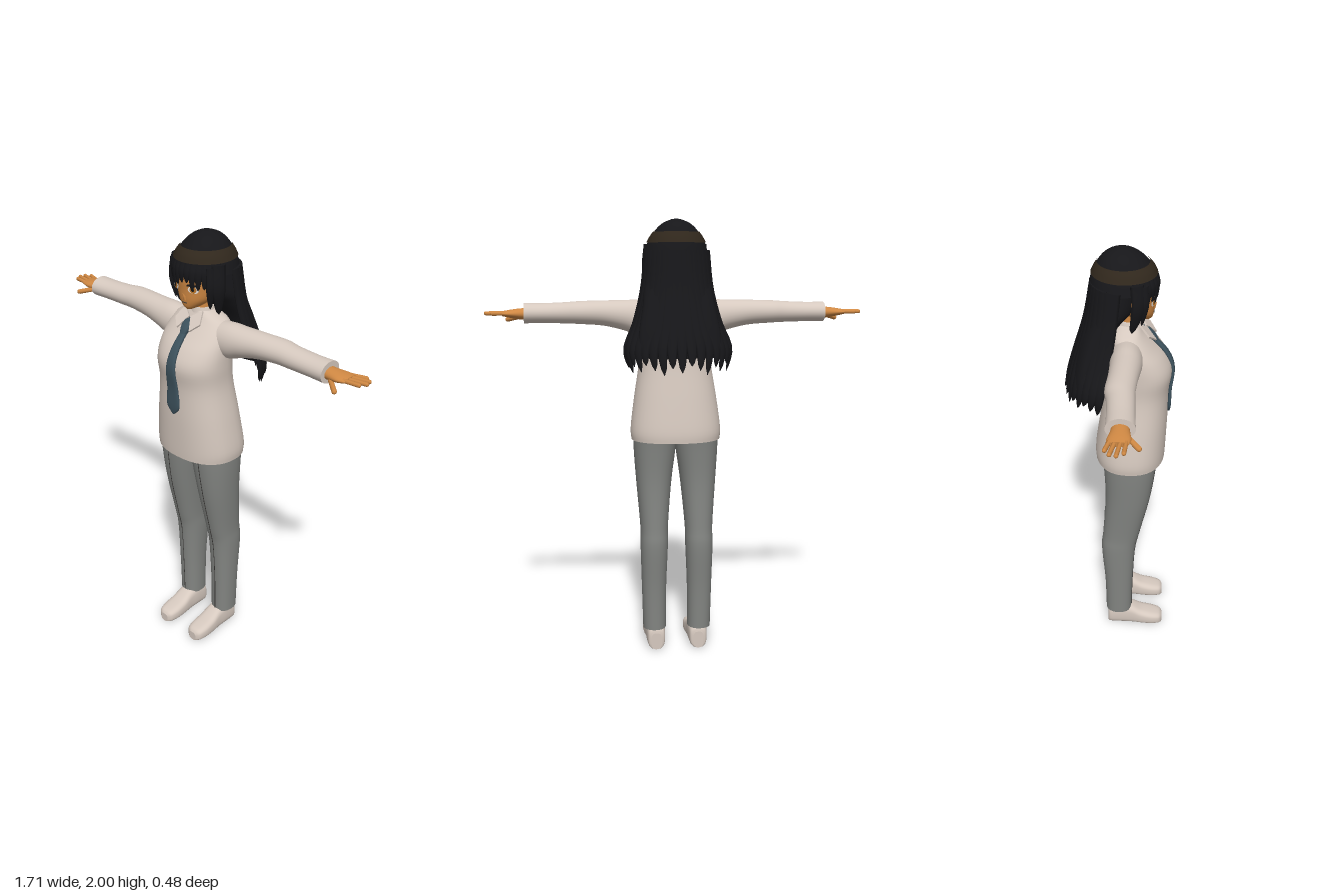
import * as THREE from 'three';

const mat = (name, color) => {
  const m = new THREE.MeshStandardMaterial({ color });
  m.name = name;
  return m;
};

// Skin a surface over closed rings that run counter-clockwise about the direction of travel
function skin(rings, caps = true) {
  const n = rings[0].length, pos = [], idx = [];
  const add = (p) => pos.push(p.x, p.y, p.z) / 3 - 1;
  rings.forEach((r) => r.forEach(add));
  for (let i = 0; i < rings.length - 1; i++)
    for (let j = 0; j < n; j++) {
      const a = i * n + j, b = i * n + (j + 1) % n;
      idx.push(a, b, a + n, b, b + n, a + n);
    }
  if (caps) [rings[0], rings[rings.length - 1]].forEach((r, end) => {
    const mid = new THREE.Vector3();
    r.forEach((p) => mid.addScaledVector(p, 1 / n));
    const c = add(mid), s = pos.length / 3;
    r.forEach(add);
    for (let j = 0; j < n; j++) {
      const a = s + j, b = s + (j + 1) % n;
      if (end) idx.push(c, a, b); else idx.push(c, b, a);
    }
  });
  const g = new THREE.BufferGeometry();
  g.setAttribute('position', new THREE.Float32BufferAttribute(pos, 3));
  g.setIndex(idx);
  g.computeVertexNormals();
  return g;
}

// Smooth loft along an axis; each section is [t, a0, a1, b0, b1], a and b being the other two axes
function loft(axis, secs, { e = 2, n = 28, sub = 5, caps = true } = {}) {
  const at = (i) => secs[Math.max(0, Math.min(secs.length - 1, i))];
  const rings = [], last = (secs.length - 1) * sub;
  const pw = (v) => Math.sign(v) * Math.abs(v) ** (2 / e);
  for (let k = 0; k <= last; k++) {
    const i = Math.min(Math.floor(k / sub), secs.length - 2), f = k / sub - i;
    const [t, a0, a1, b0, b1] = at(i).map((p1, c) => {
      const p0 = at(i - 1)[c], p2 = at(i + 1)[c], p3 = at(i + 2)[c];
      return p1 + 0.5 * f * (p2 - p0 + f * (2 * p0 - 5 * p1 + 4 * p2 - p3 + f * (3 * (p1 - p2) + p3 - p0)));
    });
    rings.push(Array.from({ length: n }, (_, j) => {
      const w = (axis === 'y' ? -1 : 1) * j / n * Math.PI * 2;
      const a = (a0 + a1) / 2 + (a1 - a0) / 2 * pw(Math.cos(w));
      const b = (b0 + b1) / 2 + (b1 - b0) / 2 * pw(Math.sin(w));
      return axis === 'x' ? new THREE.Vector3(t, a, b) : axis === 'y' ? new THREE.Vector3(a, t, b) : new THREE.Vector3(a, b, t);
    }));
  }
  return skin(rings, caps);
}

// Flat tapering strand along a path, its broad side facing away from the head's axis
function strand(points, width, thick, taperFrom = 0.55) {
  const curve = new THREE.CatmullRomCurve3(points.map((p) => new THREE.Vector3(...p)));
  const rings = [];
  for (let i = 0; i <= 14; i++) {
    const u = i / 14, p = curve.getPoint(u), t = curve.getTangent(u);
    const o = new THREE.Vector3(p.x, 0, p.z - 0.02);
    o.addScaledVector(t, -o.dot(t)).normalize();
    const s = o.clone().cross(t);
    const k = u < taperFrom ? 1 : 0.04 + 0.96 * Math.sqrt(Math.max(0, 1 - (u - taperFrom) / (1 - taperFrom)));
    rings.push(Array.from({ length: 8 }, (_, j) => {
      const w = j / 8 * Math.PI * 2;
      return p.clone().addScaledVector(s, Math.cos(w) * width * k).addScaledVector(o, Math.sin(w) * thick * k);
    }));
  }
  return skin(rings);
}

// Mirrored copy across x = 0
function mirrored(geo) {
  const g = geo.clone(), p = g.attributes.position;
  for (let i = 0; i < p.count; i++) p.setX(i, -p.getX(i));
  if (!g.index) g.setIndex(Array.from({ length: p.count }, (_, i) => i));
  const x = g.index;
  for (let i = 0; i < x.count; i += 3) {
    const b = x.getX(i + 1);
    x.setX(i + 1, x.getX(i + 2));
    x.setX(i + 2, b);
  }
  g.computeVertexNormals();
  return g;
}

export function createModel() {
  const root = new THREE.Group();
  const cloth = mat('creamCloth', 0xd6c9bf), grey = mat('trouserGrey', 0x838582), skinTone = mat('skin', 0xcf8843);
  const black = mat('hairBlack', 0x17171a), sheen = mat('hairSheen', 0x30271c), blue = mat('tieBlue', 0x3d525d);
  const white = mat('eyeWhite', 0xe6e0da), amber = mat('iris', 0xb8742a), line = mat('seamDark', 0x3c3a38);

  const add = (name, geo, m) => {
    const mesh = new THREE.Mesh(geo, m);
    mesh.name = name;
    root.add(mesh);
    return mesh;
  };
  const pair = (name, geo, m) => {
    add(name + 'Left', geo, m);
    add(name + 'Right', mirrored(geo), m);
  };

  // Jacket body
  add('jacket', loft('y', [[1.005, 0.205, -0.1, 0.212], [1.06, 0.208, -0.1, 0.215], [1.2, 0.19, -0.08, 0.22],
    [1.35, 0.167, -0.056, 0.222], [1.45, 0.168, -0.047, 0.233], [1.52, 0.168, -0.045, 0.205], [1.58, 0.162, -0.04, 0.155],
    [1.63, 0.135, -0.032, 0.112], [1.655, 0.09, -0.018, 0.097], [1.67, 0.055, 0, 0.09]]
    .map(([y, w, b, f]) => [y, -w, w, b, f]), { e: 2.3, n: 40 }), cloth);

  // Sleeves, from [x, y centre, z centre, y radius, z radius]
  const limb = (s) => s.map(([x, y, z, ry, rz]) => [x, y - ry, y + ry, z - rz, z + rz]);
  pair('sleeve', loft('x', limb([[0.09, 1.565, 0.04, 0.07, 0.065], [0.17, 1.565, 0.04, 0.079, 0.068],
    [0.24, 1.576, 0.038, 0.067, 0.065], [0.33, 1.586, 0.032, 0.056, 0.061], [0.43, 1.589, 0.025, 0.051, 0.061],
    [0.5, 1.588, 0.031, 0.047, 0.056], [0.6, 1.587, 0.035, 0.044, 0.055], [0.68, 1.587, 0.037, 0.045, 0.058]])), cloth);

  // Hands: palm, four fingers and a thumb
  pair('palm', loft('x', limb([[0.66, 1.585, 0.037, 0.026, 0.033], [0.7, 1.584, 0.037, 0.024, 0.038],
    [0.74, 1.585, 0.035, 0.018, 0.045], [0.775, 1.586, 0.03, 0.011, 0.042]])), skinTone);
  const digit = (a, b, r) => {
    const g = new THREE.CapsuleGeometry(r, new THREE.Vector3(...a).distanceTo(new THREE.Vector3(...b)), 4, 8);
    const dir = new THREE.Vector3(...b).sub(new THREE.Vector3(...a)).normalize();
    g.applyQuaternion(new THREE.Quaternion().setFromUnitVectors(new THREE.Vector3(0, 1, 0), dir));
    return g.translate((a[0] + b[0]) / 2, (a[1] + b[1]) / 2, (a[2] + b[2]) / 2);
  };
  [[0.815, -0.014], [0.84, 0.004], [0.846, 0.029], [0.83, 0.056]].forEach(([x, z], i) =>
    pair('finger' + (i + 1), digit([0.755, 1.587, 0.002 + i * 0.02], [x, 1.588, z], 0.009), skinTone));
  pair('thumb', digit([0.7, 1.572, 0.06], [0.757, 1.556, 0.108], 0.011), skinTone);

  // Trousers with a front crease
  const leg = [[0.1, 0.052, 0.16, -0.055, 0.07], [0.3, 0.05, 0.165, -0.06, 0.074], [0.5, 0.042, 0.17, -0.075, 0.085],
    [0.6, 0.04, 0.17, -0.067, 0.105], [0.8, 0.022, 0.185, -0.055, 0.148], [0.95, 0.002, 0.195, -0.06, 0.17],
    [1.06, -0.01, 0.198, -0.07, 0.18]];
  pair('trouserLeg', loft('y', leg, { e: 2.2 }), grey);
  const crease = new THREE.CatmullRomCurve3(leg.map(([y, a, b, , f]) => new THREE.Vector3((a + b) / 2, y, f)));
  pair('trouserCrease', new THREE.TubeGeometry(crease, 40, 0.002, 5), line);

  // Shoes
  pair('shoe', loft('z', [[-0.046, 0.025, 0.08], [-0.035, 0.04, 0.105], [0.02, 0.045, 0.125], [0.07, 0.045, 0.113],
    [0.12, 0.049, 0.086], [0.17, 0.05, 0.072], [0.21, 0.041, 0.06], [0.225, 0.022, 0.045]]
    .map(([z, w, h]) => [z, 0.1 - w, 0.1 + w, 0, h]), { e: 3 }), cloth);

  // Neck, collar and tie
  add('neck', new THREE.CylinderGeometry(0.038, 0.042, 0.14, 20).translate(0, 1.66, 0.045), skinTone);
  add('collarStand', loft('y', [[1.64, -0.062, 0.062, -0.015, 0.1], [1.682, -0.05, 0.05, -0.008, 0.09]]), cloth);
  const flap = new THREE.Shape([[0.004, 0.012], [0.05, 0.05], [0.072, -0.01], [0.036, -0.052]].map((p) => new THREE.Vector2(...p)));
  pair('collarFlap', new THREE.ExtrudeGeometry(flap, { depth: 0.008, bevelEnabled: false })
    .rotateX(-0.75).translate(0, 1.636, 0.123), cloth);
  add('tie', loft('y', [[1.225, 0.003, 0.218, 0.229], [1.265, 0.036, 0.218, 0.234], [1.35, 0.031, 0.22, 0.236],
    [1.45, 0.025, 0.23, 0.245], [1.53, 0.02, 0.195, 0.216], [1.61, 0.014, 0.12, 0.148]]
    .map(([y, w, b, f]) => [y, -w, w, b, f]), { e: 3 }), blue);
  add('tieKnot', loft('y', [[1.585, 0.017, 0.13, 0.172], [1.61, 0.024, 0.115, 0.158], [1.638, 0.026, 0.09, 0.132]]
    .map(([y, w, b, f]) => [y, -w, w, b, f]), { e: 3 }), blue);

  // Head
  add('head', loft('y', [[1.686, 0.014, 0.1, 0.135], [1.7, 0.04, 0.05, 0.145], [1.73, 0.075, 0, 0.15],
    [1.77, 0.098, -0.06, 0.151], [1.82, 0.108, -0.09, 0.152], [1.9, 0.095, -0.075, 0.14], [1.95, 0.05, -0.03, 0.08]]
    .map(([y, w, b, f]) => [y, -w, w, b, f]), { e: 2.1, n: 32 }), skinTone);
  add('nose', new THREE.ConeGeometry(0.01, 0.035, 8).rotateX(0.5).translate(0, 1.748, 0.153), skinTone);
  add('mouth', new THREE.BoxGeometry(0.026, 0.003, 0.004).translate(0, 1.718, 0.149), line);
  const eyePlate = (g, y, z) => g.rotateY(0.38).translate(0.05, y, z);
  pair('eyeWhite', eyePlate(new THREE.CircleGeometry(0.025, 20).scale(1, 0.65, 1), 1.784, 0.148), white);
  pair('iris', eyePlate(new THREE.CircleGeometry(0.015, 20), 1.784, 0.15), amber);
  pair('pupil', eyePlate(new THREE.CircleGeometry(0.007, 14), 1.784, 0.152), black);
  pair('eyelash', eyePlate(new THREE.BoxGeometry(0.054, 0.006, 0.006), 1.801, 0.149), black);

  // Hair: crown, sheen band and back mass
  const crown = [[1.845, 0.144, -0.12, 0.164], [1.9, 0.126, -0.106, 0.156], [1.95, 0.093, -0.077, 0.116],
    [1.98, 0.06, -0.045, 0.078], [1.998, 0.018, 0.0, 0.035]].map(([y, w, b, f]) => [y, -w, w, b, f]);
  add('hairCrown', loft('y', crown, { n: 40 }), black);
  add('hairSheenBand', loft('y', [[1.895, 0.133, -0.113, 0.163], [1.92, 0.12, -0.101, 0.15], [1.942, 0.104, -0.087, 0.13]]
    .map(([y, w, b, f]) => [y, -w, w, b, f]), { n: 40, caps: false }), sheen);
  add('hairBack', loft('y', [[1.4, 0.16, -0.2, -0.12], [1.44, 0.182, -0.2, -0.1], [1.52, 0.178, -0.186, -0.07],
    [1.62, 0.16, -0.16, -0.03], [1.7, 0.152, -0.135, 0.03], [1.76, 0.148, -0.125, 0.08], [1.86, 0.138, -0.116, 0.1]]
    .map(([y, w, b, f]) => [y, -w, w, b, f]), { n: 36 }), black);

  // Long strands fanning out behind
  for (let i = 0; i < 17; i++) {
    const a = (i / 8 - 1) * 1.45, s = Math.sin(a), c = Math.cos(a), j = (i * 7 % 5) / 5;
    add('backStrand', strand([[0.135 * s, 1.86, -0.105 * c], [0.15 * s, 1.7, -0.015 - 0.118 * c],
      [0.19 * s, 1.54, -0.035 - 0.145 * c], [0.235 * s, 1.43, -0.05 - 0.163 * c],
      [(0.215 + 0.02 * j) * s, 1.33 + 0.05 * j, -0.06 - 0.172 * c]], 0.03, 0.013), black);
  }
  // Fringe
  for (let i = 0; i < 13; i++) {
    const a = (i / 6 - 1) * 1.15, s = Math.sin(a), c = Math.cos(a);
    const tip = 1.79 + (i * 5 % 4) * 0.009 - 0.03 * Math.abs(s);
    add('fringe', strand([[0.125 * s, 1.895, 0.025 + 0.128 * c], [0.136 * s, 1.855, 0.025 + 0.141 * c],
      [0.13 * s, tip, 0.025 + 0.139 * c]], 0.019, 0.007, 0.4), black);
  }
  // Side locks framing the face
  pair('sideLock', strand([[0.125, 1.89, 0.08], [0.132, 1.79, 0.085], [0.112, 1.67, 0.06]], 0.03, 0.012), black);
  pair('innerLock', strand([[0.11, 1.88, 0.11], [0.115, 1.8, 0.115], [0.1, 1.7, 0.1]], 0.018, 0.009), black);
  return root;
}
